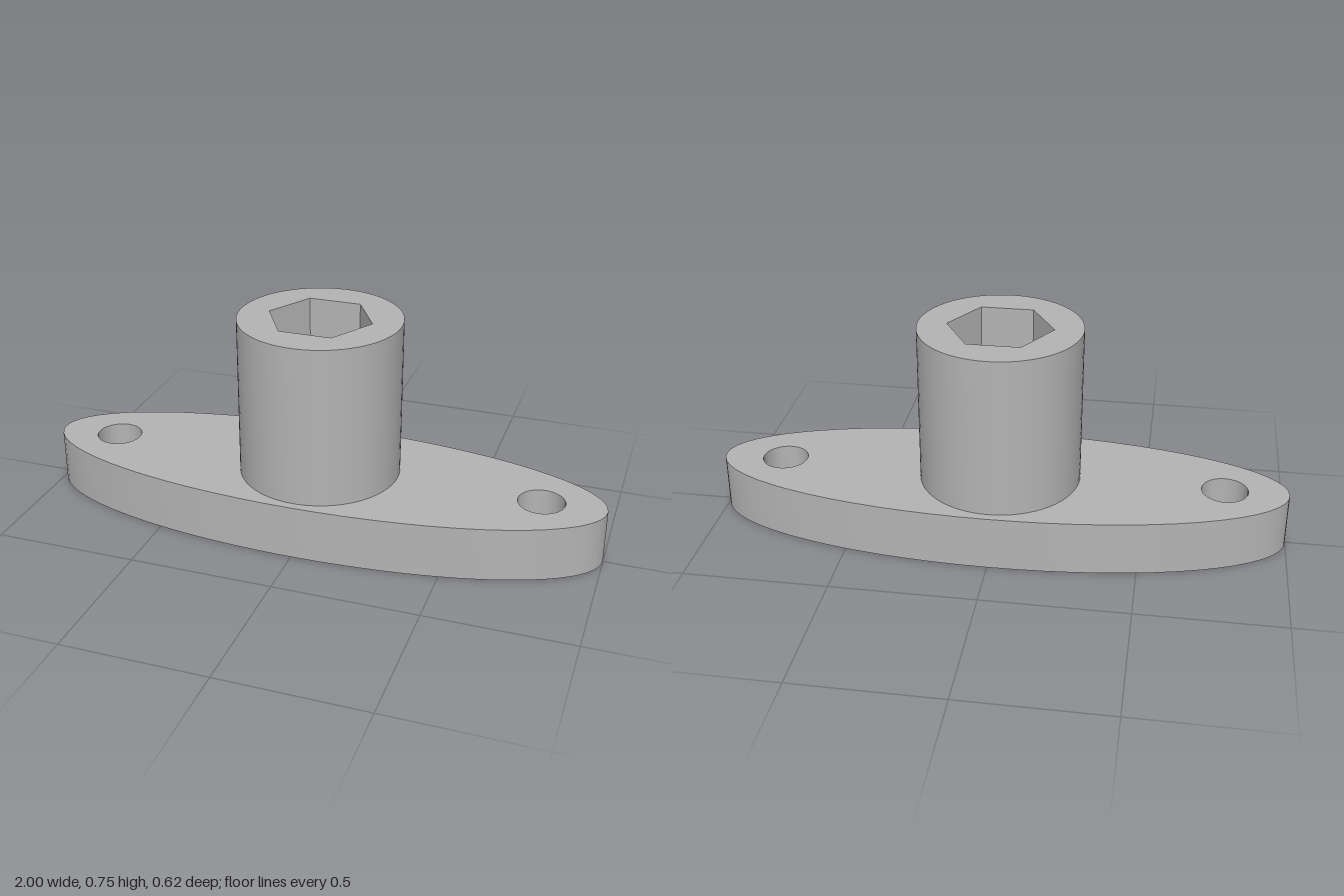
import * as THREE from 'three';
import { toCreasedNormals } from 'three/addons/utils/BufferGeometryUtils.js';

const PLATE_HEIGHT = 0.19;
const TOTAL_HEIGHT = 0.75;

// Extrudes a plan outline upwards from y = bottom to y = top
function extrudeUp(shape, bottom, top) {
  const geometry = new THREE.ExtrudeGeometry(shape, {
    depth: top - bottom, bevelEnabled: false, curveSegments: 32,
  });
  geometry.rotateX(-Math.PI / 2);
  geometry.translate(0, bottom, 0);
  return toCreasedNormals(geometry, 0.6);
}

export function createModel() {
  const group = new THREE.Group();
  group.name = 'socketFlange';
  const grey = new THREE.MeshStandardMaterial({ color: 0xb4b4b4 });
  grey.name = 'grey';

  // Elliptical base plate with two bolt holes
  const plateShape = new THREE.Shape();
  plateShape.absellipse(0, 0, 1, 0.31, 0, Math.PI * 2, false);
  for (const side of [-1, 1]) {
    const hole = new THREE.Path();
    hole.absarc(side * 0.78, 0, 0.08, 0, Math.PI * 2, true);
    plateShape.holes.push(hole);
  }
  const plate = new THREE.Mesh(extrudeUp(plateShape, 0, PLATE_HEIGHT), grey);
  plate.name = 'basePlate';

  // Round boss with a hexagonal socket, floored by the plate
  const bossShape = new THREE.Shape();
  bossShape.absarc(0, 0, 0.28, 0, Math.PI * 2, false);
  const corners = [];
  for (let i = 0; i < 6; i++) {
    const angle = -i * Math.PI / 3;
    corners.push(new THREE.Vector2(0.181 * Math.cos(angle), 0.181 * Math.sin(angle)));
  }
  const socket = new THREE.Path(corners);
  socket.closePath();
  bossShape.holes.push(socket);
  const boss = new THREE.Mesh(extrudeUp(bossShape, PLATE_HEIGHT, TOTAL_HEIGHT), grey);
  boss.name = 'hexSocketBoss';

  group.add(plate, boss);
  return group;
}
